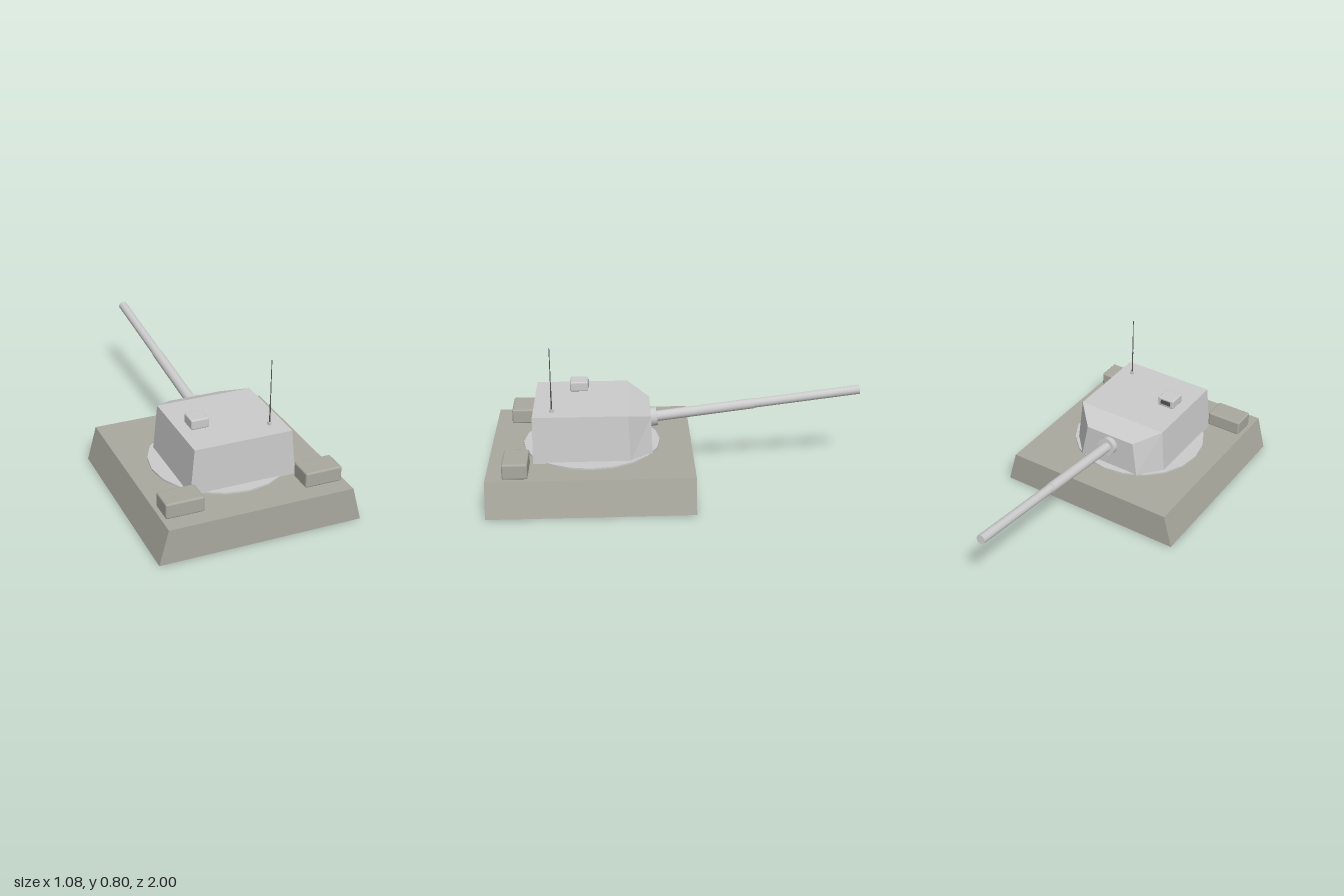
import * as THREE from 'three';
import { RoundedBoxGeometry } from 'three/addons/geometries/RoundedBoxGeometry.js';

const grey = new THREE.MeshStandardMaterial({ color: 0xcccccc });
const flatGrey = new THREE.MeshStandardMaterial({ color: 0xcccccc, flatShading: true });
const hullGrey = new THREE.MeshStandardMaterial({ color: 0xaaa99f });
const dark = new THREE.MeshStandardMaterial({ color: 0x555555 });

function add(parent, name, geometry, material, x = 0, y = 0, z = 0) {
  const mesh = new THREE.Mesh(geometry, material);
  mesh.name = name;
  mesh.position.set(x, y, z);
  parent.add(mesh);
  return mesh;
}

// Turret shell: a six-sided plan lofted to a narrower roof that dips at the nose
function turretGeometry() {
  const mirror = (half) => [
    ...half,
    ...half.slice().reverse().map(([x, y, z]) => [-x, y, z]),
  ];
  const low = mirror([[0.285, 0.19, 0.765], [0.285, 0.19, 0.255], [0.18, 0.19, 0.135]]);
  const top = mirror([[0.262, 0.44, 0.762], [0.262, 0.44, 0.262], [0.147, 0.387, 0.142]]);
  const pos = [];
  const quad = (a, b, c, d) => pos.push(...a, ...b, ...c, ...a, ...c, ...d);
  for (let i = 0; i < 6; i++) {
    const j = (i + 1) % 6;
    quad(low[i], low[j], top[j], top[i]);
  }
  quad(top[0], top[1], top[4], top[5]); // flat roof
  quad(top[1], top[2], top[3], top[4]); // sloped nose plate
  quad(low[5], low[4], low[1], low[0]); // floor
  quad(low[4], low[3], low[2], low[1]);
  const g = new THREE.BufferGeometry();
  g.setAttribute('position', new THREE.Float32BufferAttribute(pos, 3));
  g.computeVertexNormals();
  return g;
}

export function createModel() {
  const model = new THREE.Group();
  model.name = 'turretOnHull';

  // Hull block with sloping flanks
  const section = new THREE.Shape([
    new THREE.Vector2(-0.54, 0), new THREE.Vector2(0.54, 0),
    new THREE.Vector2(0.49, 0.187), new THREE.Vector2(-0.49, 0.187),
  ]);
  const hull = new THREE.ExtrudeGeometry(section, { depth: 1.08, bevelEnabled: false });
  add(model, 'hull', hull, hullGrey, 0, 0, -0.08);

  // Stowage boxes on the deck
  for (const side of [-1, 1]) {
    add(model, side > 0 ? 'leftStowageBox' : 'rightStowageBox',
      new RoundedBoxGeometry(0.2, 0.083, 0.132, 2, 0.01), hullGrey, side * 0.37, 0.229, 0.847);
  }

  // Turret and its ring
  add(model, 'turretRing', new THREE.CylinderGeometry(0.37, 0.37, 0.012, 20), grey, 0, 0.19, 0.46);
  add(model, 'turret', turretGeometry(), flatGrey);

  // Gun: everything runs along local +y, then tips to point away and upward
  const gun = new THREE.Group();
  gun.name = 'gun';
  gun.position.set(0, 0.326, 0.145);
  gun.rotation.x = -Math.PI / 2 + 0.12;
  model.add(gun);
  add(gun, 'mantletCollar', new THREE.CylinderGeometry(0.051, 0.051, 0.06, 24), grey, 0, 0.011, 0);
  add(gun, 'barrelSleeve', new THREE.CylinderGeometry(0.028, 0.029, 0.57, 24), grey, 0, 0.285, 0);
  add(gun, 'barrel', new THREE.CylinderGeometry(0.025, 0.025, 0.6, 24), grey, 0, 0.85, 0);

  // Periscope housing with its viewing window
  const periscope = new THREE.Group();
  periscope.name = 'periscope';
  periscope.position.set(-0.152, 0.467, 0.526);
  model.add(periscope);
  add(periscope, 'housing', new RoundedBoxGeometry(0.098, 0.054, 0.098, 2, 0.008), grey);
  add(periscope, 'window', new THREE.BoxGeometry(0.06, 0.026, 0.006), dark, 0, 0.002, -0.048);

  // Stepped whip antenna
  const antenna = new THREE.Group();
  antenna.name = 'antenna';
  antenna.position.set(0.185, 0.44, 0.663);
  model.add(antenna);
  add(antenna, 'antennaBase', new THREE.CylinderGeometry(0.01, 0.01, 0.016, 12), grey, 0, 0.008, 0);
  add(antenna, 'lowerRod', new THREE.CylinderGeometry(0.003, 0.004, 0.15, 8), dark, 0, 0.075, 0);
  add(antenna, 'upperRod', new THREE.CylinderGeometry(0.002, 0.0025, 0.21, 8), dark, 0, 0.25, 0);

  return model;
}
